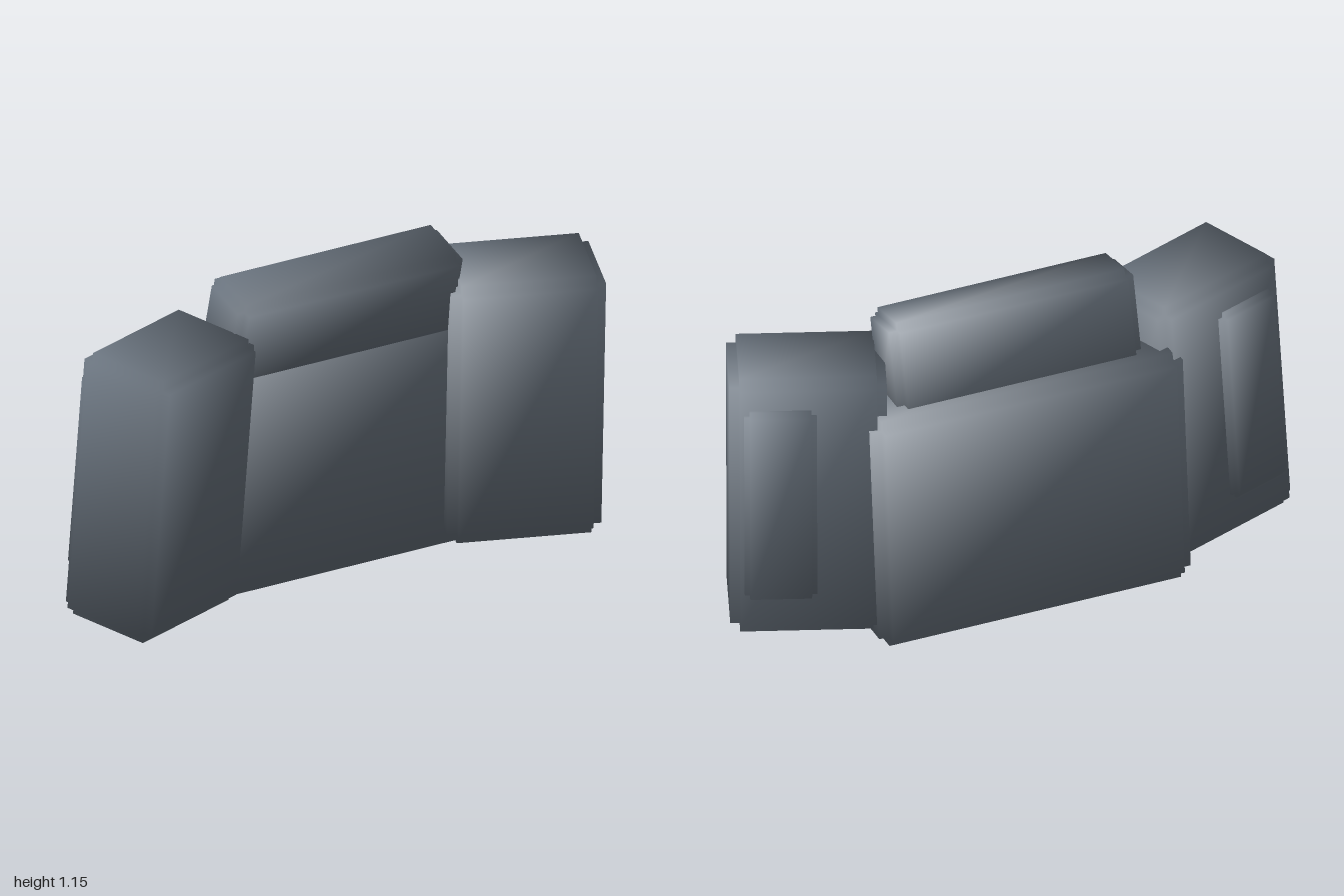
import * as THREE from 'three';

const slate = new THREE.MeshStandardMaterial({ color: 0x6b7580 });
slate.name = 'slate grey';

// Box with a small square step cut along every edge and softly blended normals
function steppedBox(name, w, h, d, step) {
  const geometry = new THREE.BoxGeometry(1, 1, 1, 3, 3, 3);
  const pos = geometry.attributes.position;
  const half = [w / 2, h / 2, d / 2];
  const normal = new THREE.Vector3();
  for (let i = 0; i < pos.count; i++) {
    const p = [pos.getX(i), pos.getY(i), pos.getZ(i)];
    const outer = p.map((c) => Math.abs(c) > 0.4);
    const onEdge = outer.filter(Boolean).length > 1;
    const q = p.map((c, k) => Math.sign(c) * (outer[k] && !onEdge ? half[k] : half[k] - step));
    pos.setXYZ(i, ...q);
    normal.set(...p.map(Math.sign)).normalize();
    geometry.attributes.normal.setXYZ(i, normal.x, normal.y, normal.z);
  }
  const mesh = new THREE.Mesh(geometry, slate);
  mesh.name = name;
  return mesh;
}

export function createModel() {
  const model = new THREE.Group();
  model.name = 'wraparoundCushion';
  const tilt = THREE.MathUtils.degToRad(5);

  // Central panel, leaning slightly forward
  const panel = steppedBox('centrePanel', 1.11, 0.86, 0.3, 0.035);
  panel.position.set(0, 0.449, -0.128);
  panel.rotation.x = tilt;
  model.add(panel);

  // Roll on top, sunk into the panel
  const roll = steppedBox('topRoll', 0.87, 0.39, 0.226, 0.028);
  roll.position.set(0, 0.954, -0.03);
  roll.rotation.x = THREE.MathUtils.degToRad(15);
  model.add(roll);

  // Side wings turned inwards, each with a raised pad on its back
  for (const side of [1, -1]) {
    const wing = new THREE.Group();
    wing.name = side > 0 ? 'leftWing' : 'rightWing';
    wing.position.set(side * 0.69, 0.543, 0.0255);
    wing.rotation.set(tilt, -side * THREE.MathUtils.degToRad(20), 0, 'YXZ');
    const pad = steppedBox('wingBackPad', 0.24, 0.715, 0.12, 0.018);
    pad.position.set(side * 0.093, 0.02, -0.149);
    wing.add(steppedBox('wingBody', 0.52, 0.966, 0.362, 0.033), pad);
    model.add(wing);
  }
  return model;
}
